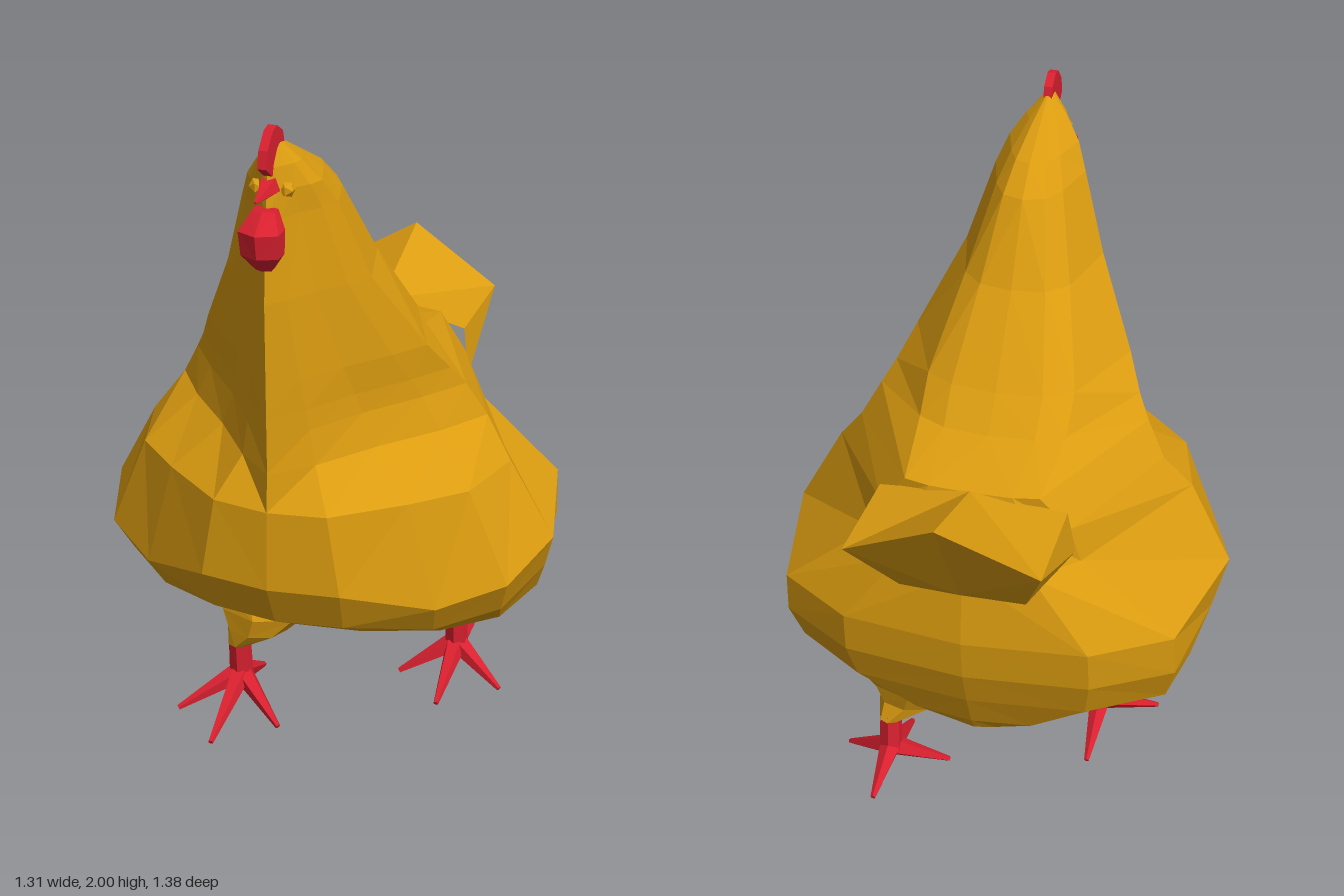
import * as THREE from 'three';

const gold = new THREE.MeshStandardMaterial({ name: 'golden feathers', color: 0xdb9c10, flatShading: true });
const red = new THREE.MeshStandardMaterial({ name: 'red skin', color: 0xd9202f, flatShading: true });

function add(parent, name, geometry, material) {
  const mesh = new THREE.Mesh(geometry, material);
  mesh.name = name;
  parent.add(mesh);
  return mesh;
}

// Faceted surface from a list of triangles, each of three [x, y, z] corners
function facets(triangles) {
  const g = new THREE.BufferGeometry();
  g.setAttribute('position', new THREE.Float32BufferAttribute(triangles.flat(2), 3));
  g.computeVertexNormals();
  return g;
}

// Skin stacked rings (bottom to top) and cap both ends
function loft(rings) {
  const tris = [];
  const n = rings[0].length;
  for (let r = 0; r < rings.length - 1; r++) {
    const a = rings[r], b = rings[r + 1];
    for (let i = 0; i < n; i++) {
      const j = (i + 1) % n;
      // Mirror the diagonal on the right half to keep the facets symmetrical
      if (i < n / 2) tris.push([a[i], a[j], b[j]], [a[i], b[j], b[i]]);
      else tris.push([a[i], a[j], b[i]], [a[j], b[j], b[i]]);
    }
  }
  const lo = rings[0], hi = rings[rings.length - 1];
  for (let i = 1; i < n - 1; i++) {
    tris.push([lo[0], lo[i + 1], lo[i]], [hi[0], hi[i], hi[i + 1]]);
  }
  return facets(tris);
}

// Front quarter outlines seen from above: full for the breast, keeled for the neck
const FULL = [[0, 1], [0.3, 0.95], [0.64, 0.67], [0.89, 0.42], [1, 0]];
const KEEL = [[0, 1], [0.22, 0.82], [0.47, 0.53], [0.78, 0.24], [1, 0]];
const SAG = [0, 0, 1, 0.6, 0];

// Height, half width, front z, widest z, keel amount, breast sag, back corner x and z, back z
function bodyRing([y, w, zf, zc, keel, sag, xb, zk, zb]) {
  const half = FULL.map(([x, z], i) => [
    w * THREE.MathUtils.lerp(x, KEEL[i][0], keel),
    y - sag * SAG[i],
    THREE.MathUtils.lerp(zc, zf, THREE.MathUtils.lerp(z, KEEL[i][1], keel)),
  ]);
  half.push([xb, y, zk], [xb * 0.62, y, THREE.MathUtils.lerp(zk, zb, 0.78)], [0, y, zb]);
  const mirrored = half.slice(1, -1).reverse().map(([x, yy, z]) => [-x, yy, z]);
  return [...half, ...mirrored];
}

// Tapered rod between two points
function rod(a, b, r0, r1, sides = 5) {
  const p = new THREE.Vector3(...a), q = new THREE.Vector3(...b);
  const d = q.clone().sub(p);
  const g = new THREE.CylinderGeometry(r1, r0, d.length(), sides);
  g.applyQuaternion(new THREE.Quaternion().setFromUnitVectors(new THREE.Vector3(0, 1, 0), d.normalize()));
  const m = p.add(q).multiplyScalar(0.5);
  return g.translate(m.x, m.y, m.z);
}

// Horizontal oval ring
function oval(x, y, z, rx, rz, n = 8) {
  return Array.from({ length: n }, (_, i) => {
    const t = (i / n) * Math.PI * 2;
    return [x + rx * Math.sin(t), y, z + rz * Math.cos(t)];
  });
}

function makeTail() {
  const tris = [];
  const top = [0, 1.175, -0.34], tip = [0, 1.29, -0.69], under = [0, 0.91, -0.46];
  for (const s of [1, -1]) {
    const base = [0.265 * s, 1.13, -0.31], low = [0.285 * s, 0.99, -0.29];
    const corner = [0.27 * s, 1.14, -0.63], belly = [0.18 * s, 0.89, -0.43];
    const side = [
      [top, tip, corner], [top, corner, base], [base, corner, low],
      [low, corner, belly], [belly, corner, under], [under, corner, tip],
    ];
    // Reverse the corner order on the left so every face points outward
    for (const t of side) tris.push(s > 0 ? [t[0], t[2], t[1]] : t);
  }
  return facets(tris);
}

// thigh: z and z radius of the middle and upper thigh
function makeLeg(name, x, z, thigh, backToeY, stride) {
  const leg = new THREE.Group();
  leg.name = name;
  const out = Math.sign(x);
  const [zm, rm, zu, ru] = thigh;
  add(leg, 'thigh', loft([
    oval(x, 0.215, z, 0.035, 0.04),
    oval(out * 0.235, 0.27, zm, 0.095, rm),
    oval(out * 0.215, 0.335, zu, 0.155, ru),
    oval(out * 0.24, 0.42, zu - 0.03, 0.18, ru),
  ]), gold);
  const foot = [x, 0.1, z - 0.01];
  add(leg, 'shank', rod(foot, [x, 0.225, z], 0.036, 0.033, 6), red);
  const tips = [[0, 0.012, stride], [0.16, 0.012, stride - 0.14], [-0.16, 0.012, stride - 0.14], [0, backToeY, -0.2]];
  for (const [dx, y, dz] of tips) {
    add(leg, 'toe', rod([x, 0.105, z - 0.01], [x + dx, y, z + dz], 0.034, 0.008), red);
  }
  return leg;
}

export function createModel() {
  const hen = new THREE.Group();
  hen.name = 'hen';

  // Body, neck and head
  const rings = [
    [0.31, 0.12, 0.0, -0.15, 0, 0, 0.1, -0.25, -0.32],
    [0.36, 0.32, 0.19, -0.1, 0, 0, 0.28, -0.25, -0.35],
    [0.48, 0.58, 0.4, -0.03, 0, 0.03, 0.545, -0.23, -0.4],
    [0.6, 0.62, 0.59, 0.06, 0, 0.05, 0.575, -0.27, -0.44],
    [0.73, 0.655, 0.65, 0.12, 0, 0.08, 0.57, -0.28, -0.455],
    [0.96, 0.53, 0.64, 0.14, 0, 0, 0.3, -0.29, -0.43],
    [1.07, 0.45, 0.63, 0.1, 0.9, 0, 0.27, -0.3, -0.37],
    [1.17, 0.395, 0.63, 0.13, 1, 0, 0.19, -0.32, -0.34],
    [1.23, 0.36, 0.63, 0.17, 1, 0, 0.21, -0.1, -0.15],
    [1.32, 0.315, 0.63, 0.24, 1, 0, 0.21, -0.01, -0.07],
    [1.55, 0.2, 0.63, 0.37, 1, 0, 0.15, 0.17, 0.1],
    [1.77, 0.13, 0.61, 0.43, 0.9, 0, 0.095, 0.3, 0.22],
    [1.84, 0.1, 0.6, 0.47, 0.7, 0, 0.07, 0.37, 0.3],
    [1.9, 0.058, 0.59, 0.5, 0.5, 0, 0.04, 0.45, 0.41],
    [1.95, 0.012, 0.57, 0.53, 0.5, 0, 0.008, 0.51, 0.5],
  ];
  add(hen, 'body', loft(rings.map(bodyRing)), gold);
  add(hen, 'tail', makeTail(), gold);

  // Legs in mid stride
  hen.add(makeLeg('leftLeg', 0.285, -0.23, [-0.19, 0.07, -0.16, 0.12], 0.06, 0.21));
  hen.add(makeLeg('rightLeg', -0.285, 0.14, [0.12, 0.08, 0.07, 0.14], 0.012, 0.25));

  // Comb: thin upright blade on the crown
  const blade = new THREE.Shape();
  [[0.5, 1.94], [0.51, 1.975], [0.55, 2], [0.58, 1.995], [0.62, 1.955], [0.63, 1.91], [0.59, 1.88]]
    .forEach(([z, y], i) => (i ? blade.lineTo(-z, y) : blade.moveTo(-z, y)));
  const comb = new THREE.ExtrudeGeometry(blade, { depth: 0.024, bevelEnabled: false });
  add(hen, 'comb', comb.translate(0, 0, -0.012).rotateY(Math.PI / 2), red);

  // Beak and wattle
  add(hen, 'beak', rod([0, 1.85, 0.58], [0, 1.84, 0.678], 0.03, 0.004), red);
  add(hen, 'wattle', loft([
    oval(0, 1.645, 0.62, 0.025, 0.02, 6),
    oval(0, 1.69, 0.635, 0.058, 0.045, 6),
    oval(0, 1.755, 0.64, 0.062, 0.05, 6),
    oval(0, 1.8, 0.61, 0.035, 0.025, 6),
  ]), red);

  // Eyes
  for (const s of [1, -1]) {
    add(hen, 'eye', new THREE.IcosahedronGeometry(0.022, 0).translate(s * 0.04, 1.84, 0.56), gold);
  }
  return hen;
}
